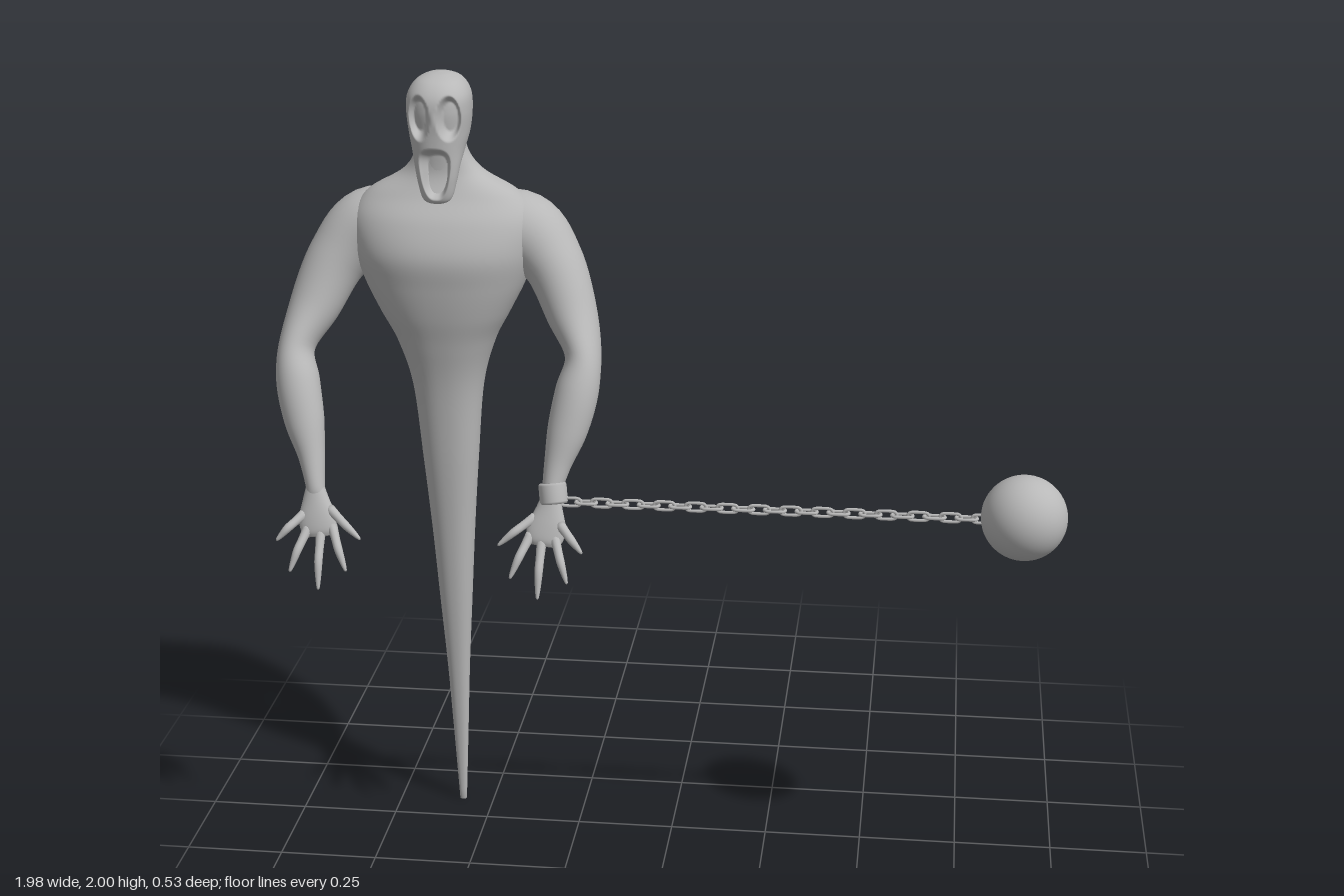
import * as THREE from 'three';

const V = (x, y, z) => new THREE.Vector3(x, y, z);

// Smooth tube through rings [x, y, z, radiusSide, radiusDepth]; closed at both ends.
// Rings follow the path, or stay horizontal when level is set.
function loft(rings, along, around, { power = 1, level = false, deform = null } = {}) {
  const path = new THREE.CatmullRomCurve3(rings.map(r => V(r[0], r[1], r[2])), false, 'catmullrom', 0.5);
  const radii = new THREE.CatmullRomCurve3(rings.map(r => V(r[3], r[4], 0)), false, 'catmullrom', 0.5);
  const pos = [], index = [];
  const bend = a => Math.sign(a) * Math.pow(Math.abs(a), power);
  for (let i = 0; i <= along; i++) {
    const t = i / along, c = path.getPoint(t), r = radii.getPoint(t);
    const dir = level ? V(0, 1, 0) : path.getTangent(t);
    const u = dir.clone().cross(V(0, 0, 1)).normalize();
    const v = dir.clone().cross(u);
    for (let j = 0; j < around; j++) {
      const a = j / around * Math.PI * 2;
      const p = c.clone()
        .addScaledVector(u, bend(Math.cos(a)) * Math.max(r.x, 0.001))
        .addScaledVector(v, bend(Math.sin(a)) * Math.max(r.y, 0.001));
      if (deform) deform(p, c);
      pos.push(p.x, p.y, p.z);
      if (i < along) {
        const k = i * around, n = (j + 1) % around;
        index.push(k + j, k + n, k + around + j, k + n, k + around + n, k + around + j);
      }
    }
  }
  const first = path.getPoint(0), last = path.getPoint(1);
  const s = pos.length / 3, k = along * around;
  pos.push(first.x, first.y, first.z, last.x, last.y, last.z);
  for (let j = 0; j < around; j++) {
    const n = (j + 1) % around;
    index.push(s, n, j, s + 1, k + j, k + n);
  }
  const g = new THREE.BufferGeometry();
  g.setAttribute('position', new THREE.Float32BufferAttribute(pos, 3));
  g.setIndex(index);
  g.computeVertexNormals();
  return g;
}

export function createModel() {
  const model = new THREE.Group();
  const ghost = new THREE.Group();
  ghost.name = 'ghost';
  ghost.position.x = -0.583;
  model.add(ghost);
  const grey = new THREE.MeshStandardMaterial({ color: 0xb8b8b8 });
  grey.name = 'grey';
  const add = (parent, name, geometry) => {
    const m = new THREE.Mesh(geometry, grey);
    m.name = name;
    parent.add(m);
    return m;
  };

  // Torso with the long tapering tail and the neck: [y, z, rx, rz]
  const torso = [
    [0, -0.1, 0.009, 0.008], [0.2, -0.1, 0.019, 0.016], [0.4, -0.098, 0.029, 0.027],
    [0.6, -0.095, 0.042, 0.04], [0.8, -0.093, 0.055, 0.053], [1.0, -0.09, 0.071, 0.066],
    [1.2, -0.09, 0.09, 0.081], [1.32, -0.088, 0.124, 0.1], [1.4, -0.088, 0.165, 0.118],
    [1.48, -0.1, 0.205, 0.142], [1.56, -0.108, 0.23, 0.156], [1.64, -0.108, 0.232, 0.128],
    [1.7, -0.108, 0.19, 0.088], [1.75, -0.108, 0.105, 0.066], [1.8, -0.1, 0.067, 0.055],
    [1.86, -0.1, 0.055, 0.05],
  ].map(([y, z, rx, rz]) => [0, y, z, rx, rz]);
  add(ghost, 'torsoAndTail', loft(torso, 100, 56, { power: 0.9, level: true }));

  // Head, wider at the face, with hollow eyes and a long gaping mouth
  const skull = [
    [1.684, -0.025, 0.014, 0.008], [1.7, -0.027, 0.036, 0.022], [1.74, -0.034, 0.048, 0.034],
    [1.78, -0.045, 0.056, 0.046], [1.82, -0.072, 0.065, 0.075], [1.86, -0.093, 0.074, 0.097],
    [1.91, -0.099, 0.079, 0.106], [1.95, -0.1, 0.076, 0.099], [1.98, -0.102, 0.058, 0.075],
    [1.995, -0.102, 0.03, 0.038], [2.0, -0.102, 0.002, 0.002],
  ].map(([y, z, rx, rz]) => [0, y, z, rx, rz]);
  const hollow = (x, y, a, b, n) => {
    const d = Math.pow(Math.abs(x / a) ** n + Math.abs(y / b) ** n, 1 / n);
    return THREE.MathUtils.smoothstep(1 - d, 0, 0.4);
  };
  const carveFace = (p, c) => {
    p.x *= 1 + 0.8 * (p.z - c.z);
    if (p.z <= c.z) return;
    const eye = hollow(Math.abs(p.x) - 0.037, p.y - 1.902, 0.029, 0.058, 2);
    const mouth = hollow(p.x, p.y - 1.764, 0.037 + (p.y - 1.764) * 0.16, 0.066, 2.8);
    p.z = Math.max(p.z - 0.032 * eye - 0.045 * mouth, c.z - 0.008);
  };
  add(ghost, 'head', loft(skull, 120, 120, { power: 0.9, level: true, deform: carveFace }));

  // Arms and hands, written for the left side and mirrored by the sign of x
  const arm = [
    [0.06, 1.6, -0.125, 0.085, 0.095], [0.19, 1.597, -0.132, 0.098, 0.1], [0.272, 1.525, -0.1, 0.078, 0.085],
    [0.327, 1.41, -0.045, 0.064, 0.07], [0.363, 1.32, 0.015, 0.045, 0.06],
    [0.353, 1.24, 0.06, 0.054, 0.058], [0.333, 1.15, 0.095, 0.05, 0.05],
    [0.312, 1.07, 0.125, 0.034, 0.036], [0.299, 1.0, 0.152, 0.024, 0.026], [0.297, 0.975, 0.16, 0.026, 0.02],
  ];
  const palm = [
    [0.299, 1.0, 0.152, 0.022, 0.022], [0.296, 0.965, 0.164, 0.034, 0.021],
    [0.291, 0.925, 0.178, 0.048, 0.02], [0.286, 0.893, 0.19, 0.045, 0.016],
    [0.284, 0.878, 0.195, 0.03, 0.009],
  ];
  // Fingers: base x, y, z then tip x, y, z
  const fingers = [
    [0.26, 0.945, 0.172, 0.174, 0.885, 0.22], [0.252, 0.905, 0.186, 0.207, 0.81, 0.25],
    [0.28, 0.895, 0.19, 0.277, 0.762, 0.262], [0.312, 0.9, 0.188, 0.35, 0.803, 0.252],
    [0.325, 0.93, 0.18, 0.385, 0.877, 0.23],
  ];
  for (const [side, label] of [[1, 'left'], [-1, 'right']]) {
    const mirror = rings => rings.map(([x, ...rest]) => [x * side, ...rest]);
    add(ghost, label + 'Arm', loft(mirror(arm), 60, 36));
    const hand = new THREE.Group();
    hand.name = label + 'Hand';
    ghost.add(hand);
    add(hand, label + 'Palm', loft(mirror(palm), 20, 24));
    for (const [x, y, z, tx, ty, tz] of fingers) {
      const at = (t, lift, r) => [x + (tx - x) * t, y + (ty - y) * t + lift * 0.5, z + (tz - z) * t + lift, r, r];
      const finger = [at(0, 0, 0.013), at(0.3, 0.006, 0.011), at(0.55, 0.01, 0.0105),
        at(0.8, 0.004, 0.0075), at(0.97, 0, 0.004), at(1, 0, 0.001)];
      add(hand, label + 'Finger', loft(mirror(finger), 18, 12));
    }
  }

  // Shackle around the left wrist
  const cuff = [[0.026, -0.026], [0.033, -0.026], [0.035, -0.02], [0.035, 0.02], [0.033, 0.026], [0.026, 0.026], [0.026, -0.026]];
  const shackle = add(model, 'shackle', new THREE.LatheGeometry(cuff.map(p => new THREE.Vector2(...p)), 32));
  shackle.position.set(-0.279, 1.003, 0.152);
  shackle.rotation.set(-0.3, 0, 0.12);

  // Chain of alternating oval links
  const chain = new THREE.Group();
  chain.name = 'chain';
  model.add(chain);
  const oval = [];
  for (let i = 0; i < 16; i++) {
    const a = (i + 0.5) / 16 * Math.PI * 2;
    oval.push(V(Math.cos(a) * 0.01 + Math.sign(Math.cos(a)) * 0.016, Math.sin(a) * 0.01, 0));
  }
  const linkGeometry = new THREE.TubeGeometry(new THREE.CatmullRomCurve3(oval, true), 32, 0.0042, 8, true);
  const links = 27;
  for (let i = 0; i < links; i++) {
    const link = add(chain, 'chainLink', linkGeometry);
    link.position.set(-0.235 + i * (1.015 / (links - 1)), 0.984, 0.157);
    link.rotation.x = i % 2 ? Math.PI / 2 : 0;
  }

  // Heavy ball at the end of the chain
  add(model, 'ball', new THREE.SphereGeometry(0.105, 48, 32)).position.set(0.88, 0.993, 0.16);
  return model;
}
